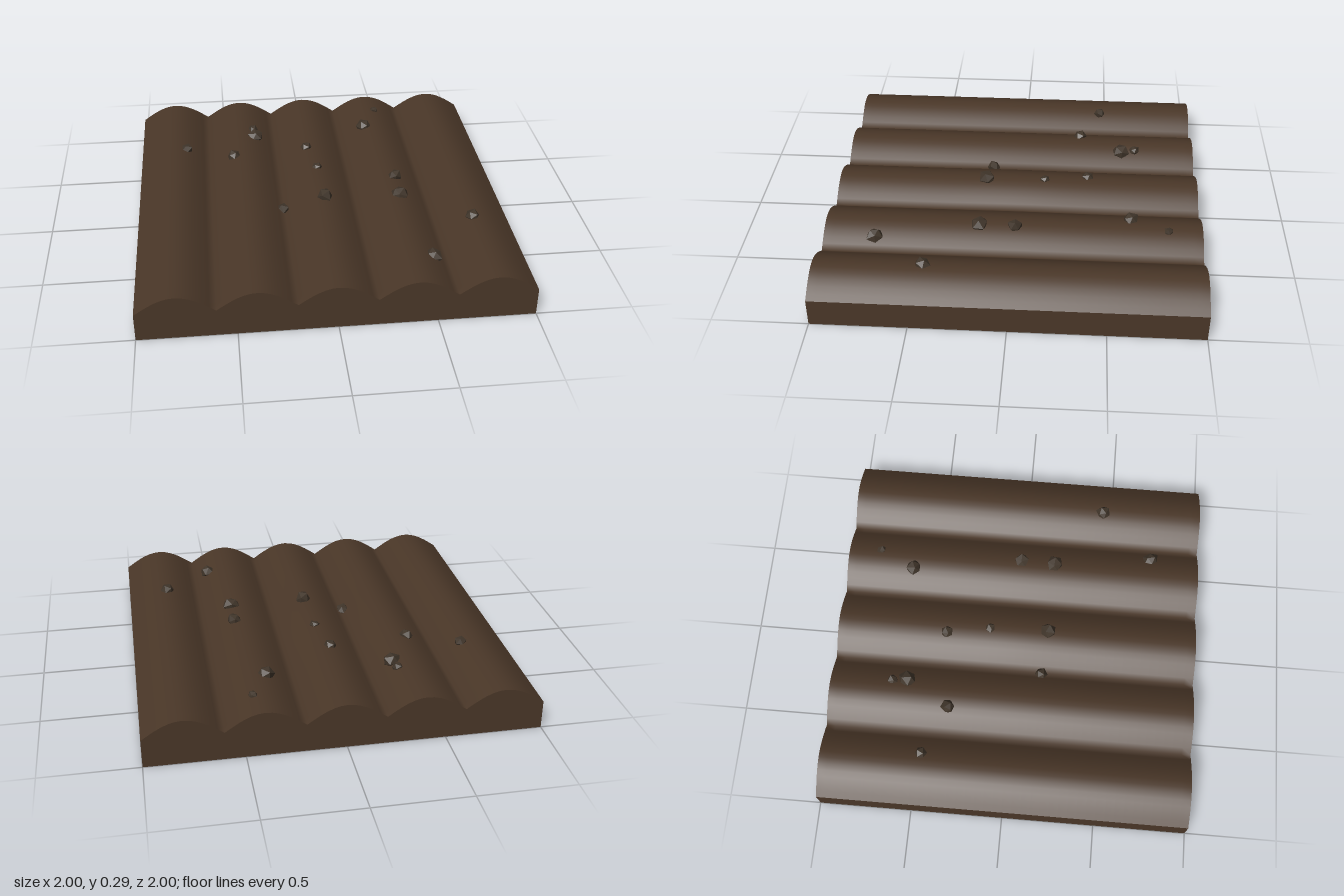
import * as THREE from 'three';
import { mergeVertices } from 'three/addons/utils/BufferGeometryUtils.js';

const RIDGES = 5, BASE = 0.15, RISE = 0.09, STEPS = 60;

// Height of the furrow profile, with a faint swell in the middle of the plot
const profile = (x) => BASE + RISE * Math.abs(Math.sin((x + 1) / 2 * RIDGES * Math.PI));
const height = (x, z) => profile(x) + 0.005 * Math.exp(-(x * x + z * z) / 0.09);

// Small repeatable random generator
function seeded(seed) {
  let s = seed;
  return () => (s = (s * 16807) % 2147483647) / 2147483647;
}

// Ridged top surface
function topGeometry() {
  const geo = new THREE.PlaneGeometry(2, 2, STEPS, 40).rotateX(-Math.PI / 2);
  const p = geo.attributes.position;
  for (let i = 0; i < p.count; i++) {
    const edge = Math.abs(p.getZ(i)) > 0.999;
    p.setY(i, edge ? profile(p.getX(i)) : height(p.getX(i), p.getZ(i)));
  }
  geo.computeVertexNormals();
  return geo;
}

// Scalloped end wall, facing +z
function endGeometry() {
  const shape = new THREE.Shape();
  shape.moveTo(-1, 0);
  shape.lineTo(1, 0);
  for (let i = STEPS; i >= 0; i--) {
    const x = -1 + 2 * i / STEPS;
    shape.lineTo(x, profile(x));
  }
  return new THREE.ShapeGeometry(shape);
}

// Faceted, irregular clod
function clodGeometry(radius, rand) {
  let geo = new THREE.IcosahedronGeometry(radius, 0);
  geo.deleteAttribute('normal');
  geo.deleteAttribute('uv');
  geo = mergeVertices(geo, 1e-5);
  const p = geo.attributes.position;
  for (let i = 0; i < p.count; i++) {
    const k = 0.82 + rand() * 0.34;
    p.setXYZ(i, p.getX(i) * k, p.getY(i) * k, p.getZ(i) * k);
  }
  geo = geo.toNonIndexed();
  geo.computeVertexNormals();
  return geo;
}

export function createModel() {
  const soil = new THREE.MeshStandardMaterial({ color: 0x4a3728, side: THREE.DoubleSide });
  const clodMat = new THREE.MeshStandardMaterial({ color: 0x40352a });
  soil.name = 'soil brown';
  clodMat.name = 'clod grey brown';

  const model = new THREE.Group();
  model.name = 'ploughedPlot';
  const add = (name, geo, mat) => {
    const mesh = new THREE.Mesh(geo, mat);
    mesh.name = name;
    model.add(mesh);
    return mesh;
  };

  // Open-bottomed soil shell
  add('furrows', topGeometry(), soil);
  add('frontWall', endGeometry(), soil).position.z = 1;
  const back = add('backWall', endGeometry(), soil);
  back.rotation.y = Math.PI;
  back.position.z = -1;
  for (const side of [1, -1]) {
    const wall = add(side > 0 ? 'leftWall' : 'rightWall', new THREE.PlaneGeometry(2, BASE), soil);
    wall.rotation.y = side * Math.PI / 2;
    wall.position.set(side, BASE / 2, 0);
  }

  // Clods scattered on the ridges: x, z, radius, vertical scale
  const clods = [
    [-0.73, -0.46, 0.034, 0.95], [-0.46, -0.34, 0.038, 0.95], [-0.32, -0.58, 0.051, 0.8],
    [-0.33, -0.66, 0.031, 0.85], [0.35, -0.62, 0.045, 0.95], [0.44, -0.82, 0.026, 0.8],
    [-0.03, -0.39, 0.036, 0.75], [0.01, -0.15, 0.031, 0.7], [-0.21, 0.15, 0.038, 1.1],
    [0.02, 0.17, 0.046, 1.05], [0.44, -0.01, 0.042, 0.95], [0.43, 0.18, 0.05, 0.85],
    [0.78, 0.44, 0.042, 0.95], [0.52, 0.73, 0.045, 1],
  ];
  const rand = seeded(4711);
  clods.forEach(([x, z, r, sy], i) => {
    const clod = add(`clod${i + 1}`, clodGeometry(r, rand), clodMat);
    clod.position.set(x, height(x, z), z);
    clod.rotation.y = rand() * Math.PI * 2;
    clod.scale.y = sy;
  });
  return model;
}
